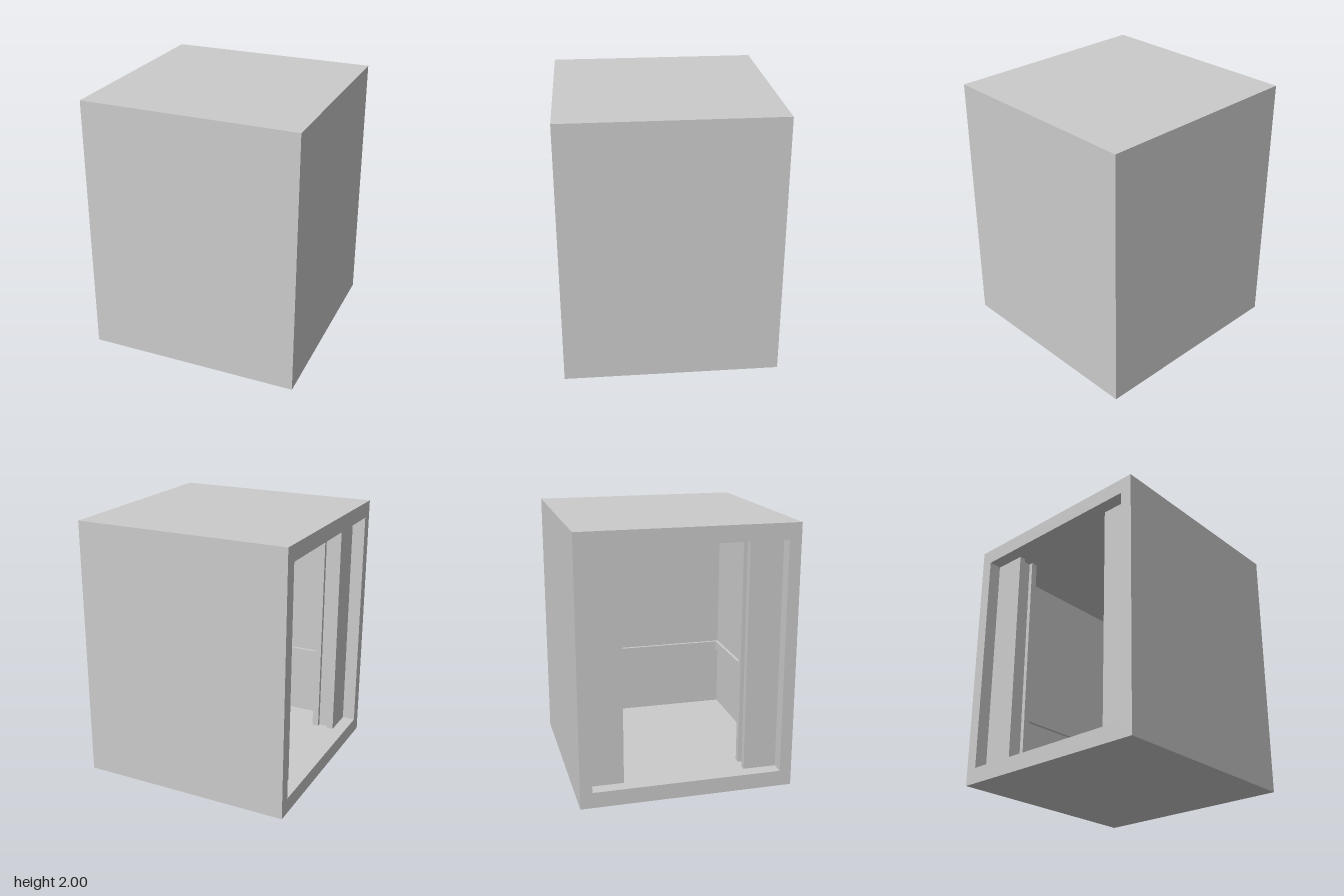
import * as THREE from 'three';

const W = 0.815, D = 0.805;          // half width (x) and half depth (z)
const IX = 0.715, IZ = 0.715;        // inner faces of the walls
const FLOOR = 0.12, CEIL = 1.88;     // inner floor and ceiling heights

export function createModel() {
  const model = new THREE.Group();
  model.name = 'openCabin';
  const material = new THREE.MeshStandardMaterial({ color: 0xcccccc });

  function add(name, geometry) {
    const mesh = new THREE.Mesh(geometry, material);
    mesh.name = name;
    model.add(mesh);
    return mesh;
  }

  // Box given by its minimum and maximum along each axis
  function box(name, [x0, x1], [y0, y1], [z0, z1]) {
    const mesh = add(name, new THREE.BoxGeometry(x1 - x0, y1 - y0, z1 - z0));
    mesh.position.set((x0 + x1) / 2, (y0 + y1) / 2, (z0 + z1) / 2);
  }

  // Outer shell: rectangular tube running along x, open towards -x
  const outline = new THREE.Shape([
    new THREE.Vector2(-D, 0), new THREE.Vector2(D, 0),
    new THREE.Vector2(D, 2), new THREE.Vector2(-D, 2),
  ]);
  outline.holes.push(new THREE.Path([
    new THREE.Vector2(-IZ, FLOOR), new THREE.Vector2(-IZ, CEIL),
    new THREE.Vector2(IZ, CEIL), new THREE.Vector2(IZ, FLOOR),
  ]));
  const shell = new THREE.ExtrudeGeometry(outline, { depth: 2 * W, bevelEnabled: false });
  shell.rotateY(Math.PI / 2).translate(-W, 0, 0);
  add('shell', shell);

  // Wall closing the end opposite the doorway
  box('endWall', [IX, W], [FLOOR, CEIL], [-IZ, IZ]);

  const railY = [0.62, 0.69], railDepth = 0.025;
  for (const side of [-1, 1]) {
    const label = side > 0 ? 'front' : 'back';
    const span = (a, b) => (side > 0 ? [a, b] : [-b, -a]);

    // Doorway: outer and inner jamb with the retracted door between them
    box(label + 'OuterJamb', [-0.715, -0.665], [FLOOR, CEIL], span(0.463, IZ));
    box(label + 'SlidingDoor', [-0.665, -0.585], [FLOOR, CEIL], span(0.495, IZ));
    box(label + 'InnerJamb', [-0.585, -0.535], [FLOOR, CEIL], span(0.463, IZ));

    // Handrail along the side wall
    box(label + 'Handrail', [-0.535, IX], railY, span(IZ - railDepth, IZ));
  }

  // Handrail along the end wall
  box('endHandrail', [IX - railDepth, IX], railY, [-IZ + railDepth, IZ - railDepth]);

  return model;
}
